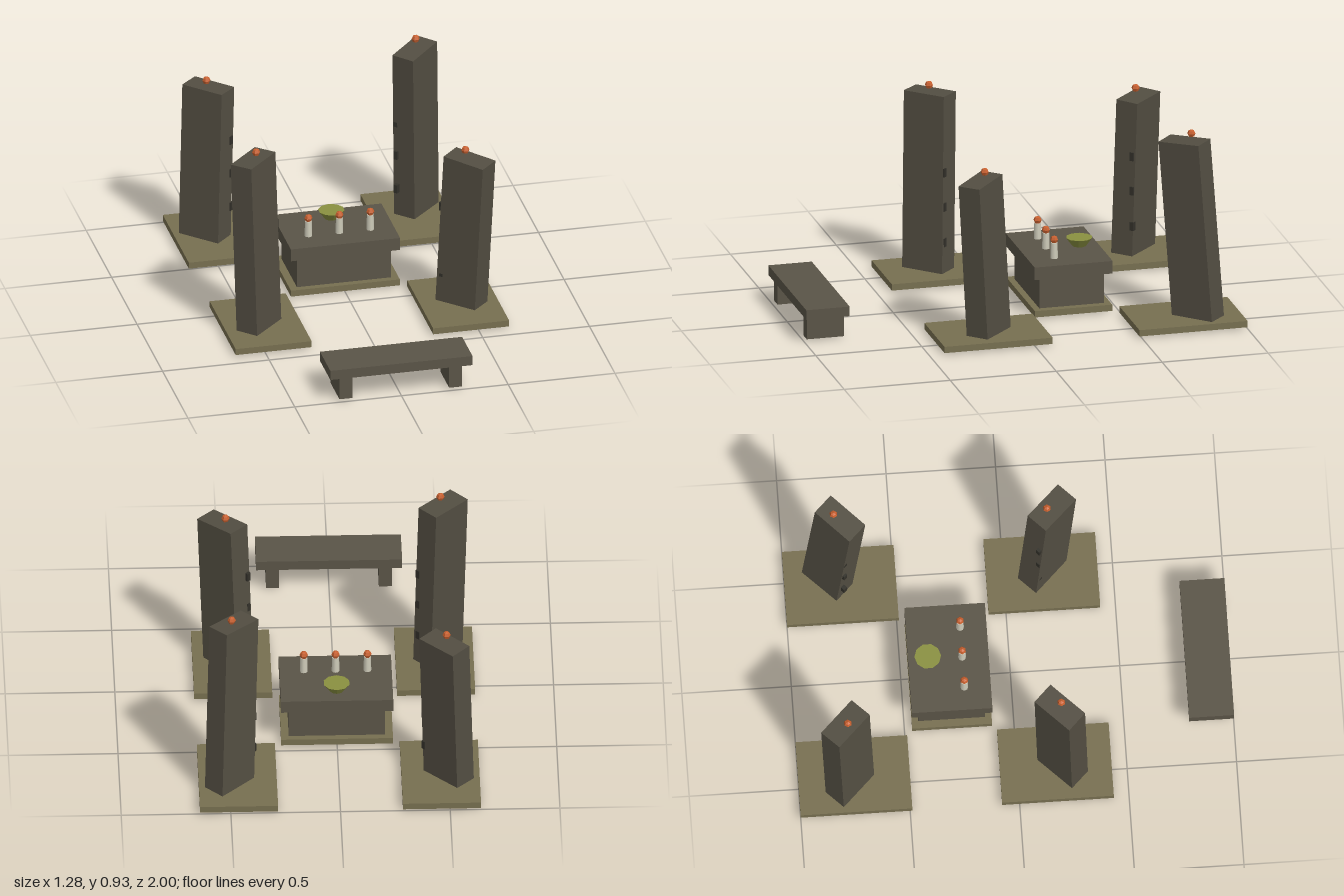
import * as THREE from 'three';

const mat = (name, color) => {
  const m = new THREE.MeshStandardMaterial({ color });
  m.name = name;
  return m;
};

export function createModel() {
  const root = new THREE.Group();
  root.name = 'stoneShrine';

  const stone = mat('stone', 0x5a5447);
  const darkStone = mat('darkStone', 0x534e42);
  const earth = mat('earth', 0x776f50);
  const rune = mat('rune', 0x33312a);
  const wax = mat('wax', 0xcfccba);
  const flame = mat('flame', 0xc8602f);
  const moss = mat('moss', 0x8a9040);
  flame.flatShading = moss.flatShading = true;

  const add = (parent, name, geometry, material, x, y, z) => {
    const mesh = new THREE.Mesh(geometry, material);
    mesh.name = name;
    mesh.position.set(x, y, z);
    parent.add(mesh);
    return mesh;
  };
  // Box given by its centre in x and z, and its bottom and top
  const slab = (parent, name, material, w, d, y0, y1, x, z) =>
    add(parent, name, new THREE.BoxGeometry(w, y1 - y0, d), material, x, (y0 + y1) / 2, z);

  const flameGeo = new THREE.SphereGeometry(0.019, 6, 4);

  // Four leaning stones, long side pointing at the altar.
  // lean = how far the top is shifted in x and z against the bottom
  const stones = [
    { name: 'backRight', sx: -1, sz: -1, h: 0.77, lean: [0.022, -0.02] },
    { name: 'backLeft', sx: 1, sz: -1, h: 0.87, lean: [-0.022, 0.06] },
    { name: 'frontRight', sx: -1, sz: 1, h: 0.87, lean: [-0.025, -0.015] },
    { name: 'frontLeft', sx: 1, sz: 1, h: 0.77, lean: [0.028, 0.048] },
  ];
  for (const { name, sx, sz, h, lean } of stones) {
    const g = new THREE.Group();
    g.name = name + 'StandingStone';
    const x = 0.49 * sx, z = sz < 0 ? -0.775 : 0.2;
    slab(g, 'groundSlab', earth, 0.356, 0.51, 0.01, 0.04, 0.4625 * sx, sz < 0 ? -0.745 : 0.175);

    const block = slab(g, 'stoneBlock', darkStone, 0.21, 0.11, 0.01, 0.01 + h, x, z);
    const up = new THREE.Vector3(lean[0], h, lean[1]).normalize();
    const tilt = new THREE.Quaternion().setFromUnitVectors(new THREE.Vector3(0, 1, 0), up);
    const yaw = new THREE.Quaternion().setFromAxisAngle(new THREE.Vector3(0, 1, 0), -sx * sz * Math.PI / 4);
    block.quaternion.copy(tilt).multiply(yaw);

    // Carved marks on the side towards the altar
    for (const y of [0.185, 0.355, 0.52]) {
      const mark = add(g, 'carvedMark', new THREE.BoxGeometry(0.02, 0.04, 0.02), rune,
        x - 0.1 * sx, y, z - 0.042 * sz);
      mark.quaternion.copy(yaw);
    }
    add(g, 'stoneFlame', flameGeo, flame, x, h + 0.043, z);
    root.add(g);
  }

  // Altar
  const altar = new THREE.Group();
  altar.name = 'altar';
  const az = -0.2825;
  slab(altar, 'altarPlinth', earth, 0.51, 0.365, 0.01, 0.04, 0, az);
  slab(altar, 'altarBody', stone, 0.44, 0.305, 0.04, 0.19, 0, az);
  slab(altar, 'altarTop', stone, 0.512, 0.368, 0.19, 0.25, 0, az);
  for (const x of [-0.145, 0, 0.145]) {
    add(altar, 'candle', new THREE.CylinderGeometry(0.016, 0.018, 0.075, 8), wax, x, 0.2875, -0.22);
    add(altar, 'candleFlame', flameGeo, flame, x, 0.339, -0.22);
  }
  add(altar, 'offeringBowl', new THREE.CylinderGeometry(0.061, 0.032, 0.04, 10), moss, 0, 0.27, -0.377);
  root.add(altar);

  // Bench
  const bench = new THREE.Group();
  bench.name = 'bench';
  slab(bench, 'benchSeat', stone, 0.666, 0.205, 0.12, 0.166, 0, 0.8975);
  for (const s of [-1, 1]) slab(bench, 'benchLeg', stone, 0.06, 0.175, 0.01, 0.12, 0.257 * s, 0.8975);
  root.add(bench);

  return root;
}
